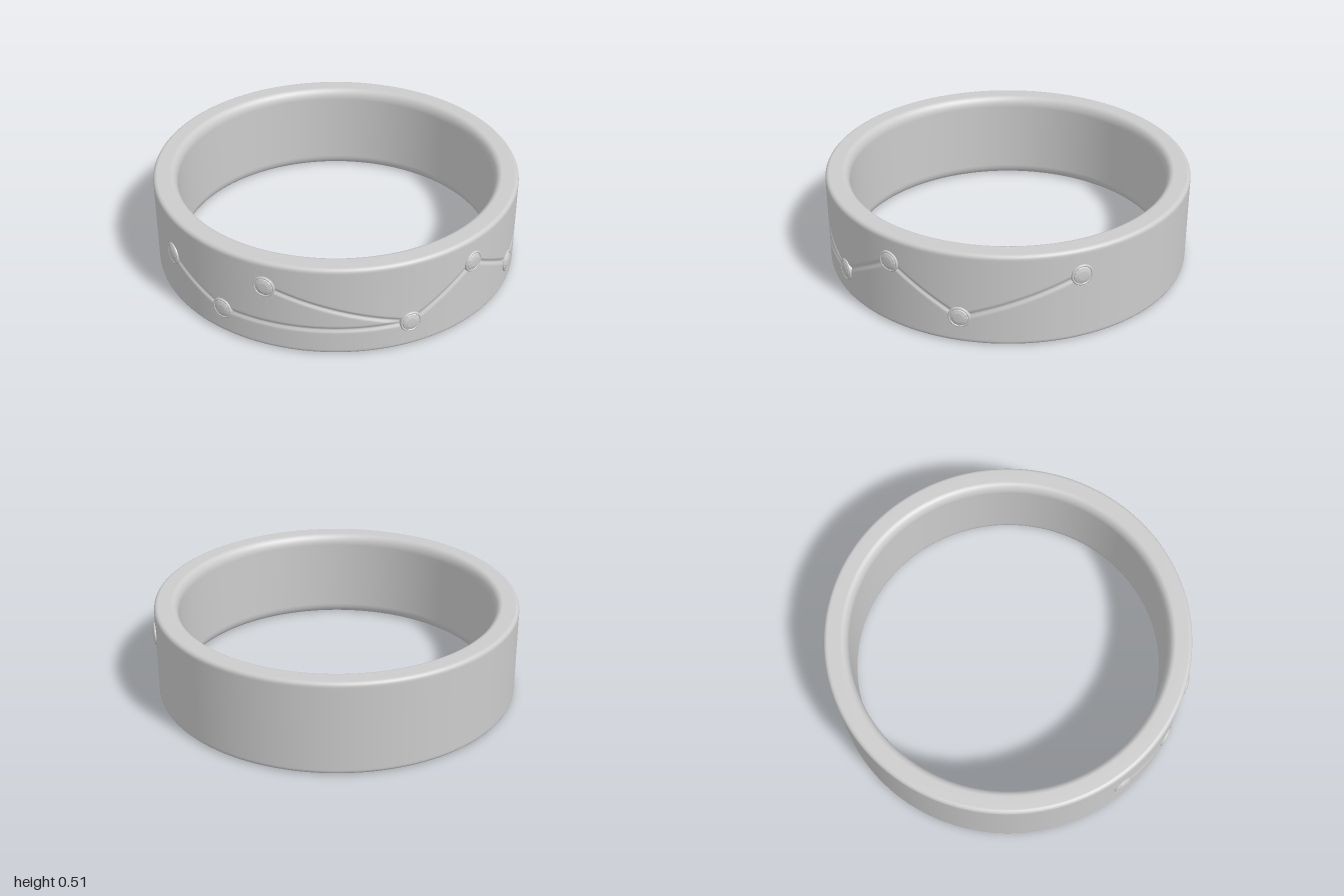
import * as THREE from 'three';
import { mergeVertices } from 'three/addons/utils/BufferGeometryUtils.js';

const R = 0.985, INNER = 0.855, Y0 = 0.005, Y1 = 0.517;
const rad = THREE.MathUtils.degToRad;

// Studs as [angle from the front towards +x in degrees, height]
const studs = [[-80.5, 0.29], [-57.5, 0.155], [-43, 0.375], [0, 0.155], [22, 0.375], [44.5, 0.155], [80, 0.375]];
const links = [[0, 1], [1, 3], [2, 3], [3, 4], [4, 5], [5, 6]];

// Distance on the unrolled outer wall from (s, y) to the nearest linking line
function lineDistance(s, y) {
  let best = Infinity;
  for (const [i, j] of links) {
    const ax = rad(studs[i][0]) * R, ay = studs[i][1];
    const dx = rad(studs[j][0]) * R - ax, dy = studs[j][1] - ay;
    const t = THREE.MathUtils.clamp(((s - ax) * dx + (y - ay) * dy) / (dx * dx + dy * dy), 0, 1);
    best = Math.min(best, Math.hypot(s - ax - t * dx, y - ay - t * dy));
  }
  return best;
}

// Band section: fine steps up the outer wall, soft corners, broad inner rounding
function bandProfile() {
  const pts = [];
  const corner = (cx, cy, rx, ry, from, n) => {
    for (let k = 0; k <= n; k++) {
      const a = from + (k / n) * Math.PI / 2;
      pts.push(new THREE.Vector2(cx + rx * Math.cos(a), cy + ry * Math.sin(a)));
    }
  };
  const c = 0.022, ix = 0.04, iy = 0.06;
  corner(R - c, Y0 + c, c, c, -Math.PI / 2, 5);
  const n = 64;
  for (let k = 1; k < n; k++) pts.push(new THREE.Vector2(R, THREE.MathUtils.lerp(Y0 + c, Y1 - c, k / n)));
  corner(R - c, Y1 - c, c, c, 0, 5);
  corner(INNER + ix, Y1 - iy, ix, iy, Math.PI / 2, 7);
  corner(INNER + ix, Y0 + iy, ix, iy, Math.PI, 7);
  pts.push(pts[0].clone());
  return pts;
}

function bandGeometry() {
  let geo = new THREE.LatheGeometry(bandProfile(), 640, -Math.PI, Math.PI * 2);
  geo.deleteAttribute('uv');
  geo.deleteAttribute('normal');
  const p = geo.attributes.position;
  const fineEnd = rad(90);
  for (let i = 0; i < p.count; i++) {
    const a = Math.atan2(p.getX(i), p.getZ(i)), u = Math.abs(a) / Math.PI;
    // Most of the angular steps go to the engraved front half
    const m = u < 0.8 ? (u / 0.8) * fineEnd : fineEnd + ((u - 0.8) / 0.2) * (Math.PI - fineEnd);
    const angle = Math.sign(a) * m, y = p.getY(i);
    let r = Math.hypot(p.getX(i), p.getZ(i));
    if (r > R - 0.0001) {
      // Shallow engraved groove with a round bottom
      const d = lineDistance(angle * R, y) / 0.018;
      if (d < 1) r -= 0.009 * Math.cos(d * Math.PI / 2) ** 2;
    }
    p.setXYZ(i, r * Math.sin(angle), y, r * Math.cos(angle));
  }
  geo = mergeVertices(geo, 1e-5);
  geo.computeVertexNormals();
  return geo;
}

export function createModel() {
  const group = new THREE.Group();
  const smooth = new THREE.MeshStandardMaterial({ color: 0xcccccc });
  const faceted = new THREE.MeshStandardMaterial({ color: 0xcccccc, flatShading: true });

  const band = new THREE.Mesh(bandGeometry(), smooth);
  band.name = 'band';
  group.add(band);

  // Low round setting holding a shallow faceted stone
  const settingGeo = new THREE.LatheGeometry([
    [0.058, -0.03], [0.058, 0.003], [0.056, 0.007], [0.052, 0.009], [0.048, 0.008], [0.046, 0.003],
  ].map(([x, y]) => new THREE.Vector2(x, y)), 40);
  const stoneGeo = new THREE.LatheGeometry([
    [0.048, 0.004], [0.044, 0.009], [0.026, 0.0145], [0, 0.0155],
  ].map(([x, y]) => new THREE.Vector2(x, y)), 12);

  for (const [deg, y] of studs) {
    const stud = new THREE.Group();
    stud.name = 'stud';
    const setting = new THREE.Mesh(settingGeo, smooth);
    setting.name = 'setting';
    const stone = new THREE.Mesh(stoneGeo, faceted);
    stone.name = 'stone';
    stud.add(setting, stone);
    const a = rad(deg);
    stud.position.set(R * Math.sin(a), y, R * Math.cos(a));
    stud.rotation.set(Math.PI / 2, a, 0, 'YXZ');
    group.add(stud);
  }

  // Centre front to back, allowing for the studs, and rest on the ground
  for (const part of group.children) {
    part.position.z -= 0.008;
    part.position.y -= Y0;
  }
  return group;
}
